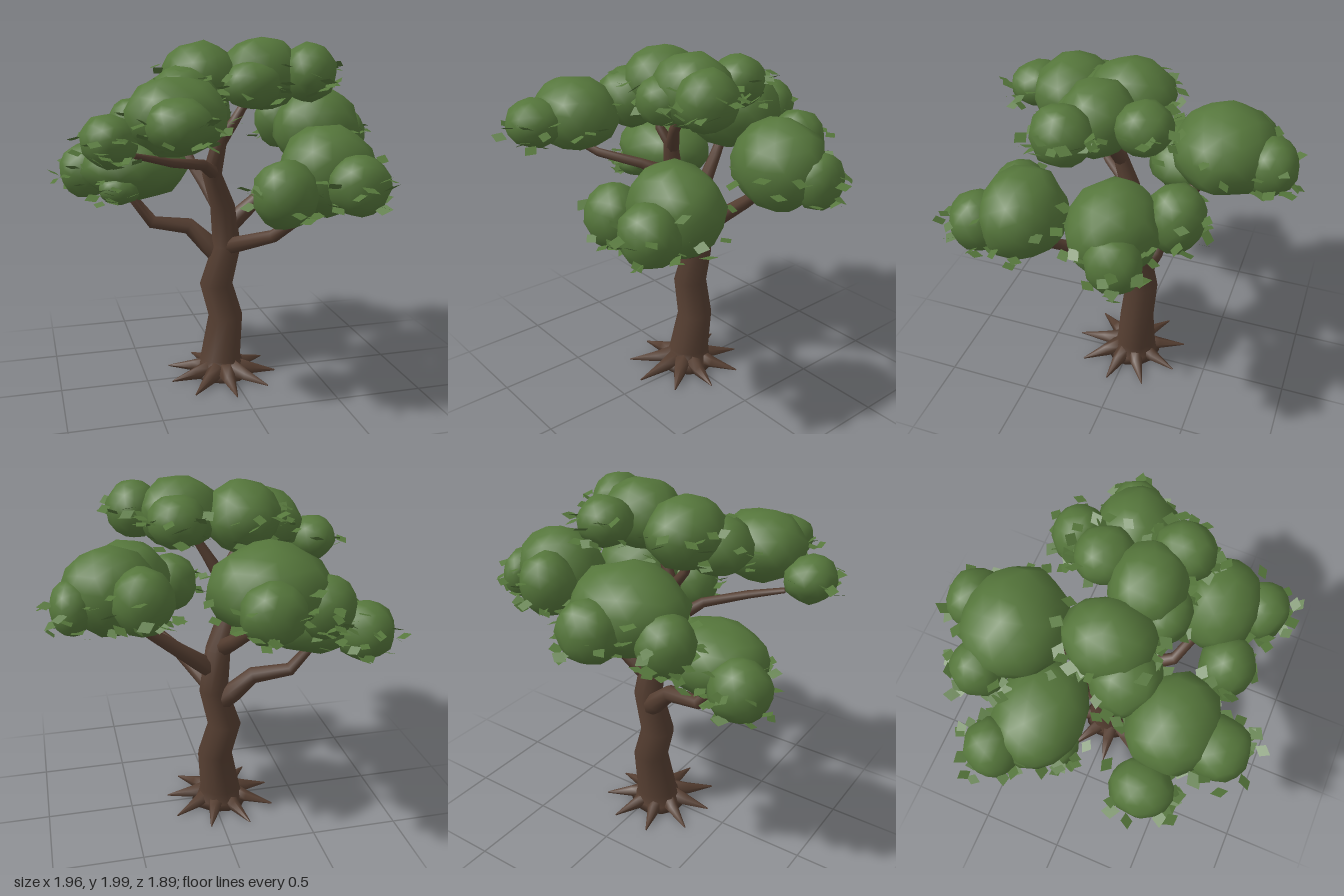
import * as THREE from 'three';
import { mergeGeometries, mergeVertices } from 'three/addons/utils/BufferGeometryUtils.js';

const bark = new THREE.MeshStandardMaterial({ color: 0x553e31 });
bark.name = 'bark brown';
const foliage = new THREE.MeshStandardMaterial({ color: 0x55763b });
foliage.name = 'foliage green';
const leafGreen = new THREE.MeshStandardMaterial({ color: 0x55763b, side: THREE.DoubleSide });
leafGreen.name = 'leaf green';

// Small seeded generator
let seed = 17;
const rand = () => {
  seed = (seed * 16807) % 2147483647;
  return seed / 2147483647;
};

// Tapered limb lofted through points [x, y, z, radius]
function limb(name, pts, sides = 9, level = false) {
  const p = pts.map(a => new THREE.Vector3(a[0], a[1], a[2]));
  const pos = [], idx = [];
  const q = new THREE.Quaternion(), up = new THREE.Vector3(0, 1, 0);
  p.forEach((c, i) => {
    const dir = p[Math.min(i + 1, p.length - 1)].clone().sub(p[Math.max(i - 1, 0)]).normalize();
    if (level) dir.copy(up);
    q.setFromUnitVectors(up, dir);
    for (let k = 0; k < sides; k++) {
      const a = (k / sides) * Math.PI * 2;
      const v = new THREE.Vector3(Math.cos(a), 0, Math.sin(a)).multiplyScalar(pts[i][3]).applyQuaternion(q).add(c);
      pos.push(v.x, v.y, v.z);
    }
  });
  for (let i = 0; i < p.length - 1; i++) {
    for (let k = 0; k < sides; k++) {
      const a = i * sides + k, b = i * sides + (k + 1) % sides;
      idx.push(a, a + sides, b, b, a + sides, b + sides);
    }
  }
  // End caps with their own centre points
  const last = (p.length - 1) * sides, c0 = pos.length / 3;
  pos.push(...p[0].toArray(), ...p[p.length - 1].toArray());
  for (let k = 0; k < sides; k++) {
    const n = (k + 1) % sides;
    idx.push(c0, k, n, c0 + 1, last + n, last + k);
  }
  const g = new THREE.BufferGeometry();
  g.setAttribute('position', new THREE.Float32BufferAttribute(pos, 3));
  g.setIndex(idx);
  g.computeVertexNormals();
  const m = new THREE.Mesh(g, bark);
  m.name = name;
  return m;
}

// Lumpy low-poly leaf mass: [x, y, z, rx, ry, rz]
function blob([x, y, z, rx, ry, rz]) {
  let g = new THREE.IcosahedronGeometry(1, 2);
  g.deleteAttribute('normal');
  g.deleteAttribute('uv');
  g = mergeVertices(g, 1e-3);
  g.rotateX(rand() * 6);
  g.rotateY(rand() * 6);
  const pos = g.attributes.position, v = new THREE.Vector3();
  for (let i = 0; i < pos.count; i++) {
    v.fromBufferAttribute(pos, i);
    const s = 1.0 + (rand() - 0.5) * 0.1;
    pos.setXYZ(i, x + v.x * rx * s, y + v.y * ry * s, z + v.z * rz * s);
  }
  g.computeVertexNormals();
  return g;
}

// Diamond leaves scattered round the outward, lower rim of a leaf mass
function leavesAround([x, y, z, rx, ry, rz], count) {
  const out = [];
  const outward = Math.atan2(z, x);
  for (let i = 0; i < count; i++) {
    const a = outward + (rand() - 0.5) * 4.6, e = -0.7 + rand() * 1.0, gap = rand() * 0.05;
    const g = new THREE.CircleGeometry(0.036 + rand() * 0.01, 4);
    g.scale(1.1, 0.85, 1);
    g.rotateX(-Math.PI / 2 + (rand() - 0.5) * 1.2);
    g.rotateZ((rand() - 0.5) * 1.0);
    g.rotateY(rand() * 6.28);
    g.translate(x + Math.cos(a) * Math.cos(e) * (rx + gap), y + Math.sin(e) * (ry + gap), z + Math.sin(a) * Math.cos(e) * (rz + gap));
    out.push(g);
  }
  return out;
}

// Leaf masses of each clump, main mass first
const clumps = {
  frontRightClump: [
    [-0.4, 1.615, 0.47, 0.265, 0.2, 0.23],
    [-0.73, 1.5, 0.44, 0.145, 0.135, 0.16],
    [-0.43, 1.6, 0.71, 0.165, 0.13, 0.16]],
  frontLeftClump: [
    [0.42, 1.3, 0.44, 0.265, 0.245, 0.23],
    [0.13, 1.215, 0.6, 0.17, 0.18, 0.155],
    [0.5, 1.26, 0.67, 0.165, 0.165, 0.15]],
  leftClump: [
    [0.57, 1.45, -0.12, 0.26, 0.24, 0.235],
    [0.78, 1.4, -0.19, 0.115, 0.15, 0.145],
    [0.43, 1.48, -0.39, 0.16, 0.18, 0.15]],
  topClump: [
    [0.15, 1.79, 0.11, 0.225, 0.2, 0.2],
    [-0.18, 1.77, 0.04, 0.21, 0.195, 0.24],
    [0.39, 1.8, 0.21, 0.15, 0.16, 0.165],
    [0.21, 1.81, -0.15, 0.155, 0.14, 0.15],
    [0.06, 1.74, 0.24, 0.16, 0.13, 0.13],
    [-0.3, 1.68, 0.18, 0.19, 0.17, 0.18]],
  backClump: [
    [-0.19, 1.53, -0.48, 0.31, 0.24, 0.28],
    [-0.14, 1.5, -0.74, 0.165, 0.165, 0.15],
    [-0.46, 1.45, -0.57, 0.155, 0.165, 0.15]],
  rightClump: [
    [-0.51, 1.25, -0.22, 0.31, 0.19, 0.25],
    [-0.77, 1.21, -0.38, 0.165, 0.165, 0.16],
    [-0.62, 1.15, -0.08, 0.12, 0.09, 0.11]]
};

// Branches as [x, y, z, radius]
const branches = {
  frontLeftBranch: [[0.0, 0.78, -0.04, 0.052], [0.17, 0.92, 0.3, 0.036], [0.31, 1.04, 0.37, 0.03], [0.4, 1.16, 0.42, 0.022]],
  leftBranch: [[0.0, 0.9, -0.05, 0.06], [0.18, 1.04, -0.08, 0.045], [0.34, 1.17, -0.11, 0.036], [0.55, 1.35, -0.13, 0.022]],
  rightBranch: [[-0.01, 0.68, -0.07, 0.06], [-0.1, 0.78, -0.12, 0.058], [-0.21, 0.89, -0.15, 0.048], [-0.42, 0.92, -0.18, 0.038], [-0.54, 1.08, -0.21, 0.027], [-0.55, 1.2, -0.22, 0.018]],
  backBranch: [[-0.05, 1.03, -0.05, 0.052], [-0.1, 1.14, -0.2, 0.042], [-0.16, 1.25, -0.33, 0.034], [-0.2, 1.42, -0.46, 0.024]],
  frontRightBranch: [[-0.09, 1.23, 0.02, 0.044], [-0.2, 1.315, 0.19, 0.03], [-0.4, 1.36, 0.34, 0.024], [-0.6, 1.415, 0.4, 0.016]],
  topLeftFork: [[-0.07, 1.42, 0.07, 0.04], [0.0, 1.54, 0.11, 0.03], [0.1, 1.7, 0.11, 0.02]],
  topRightFork: [[-0.07, 1.42, 0.07, 0.034], [-0.14, 1.52, 0.1, 0.025], [-0.2, 1.66, 0.07, 0.018]]
};

export function createModel() {
  const tree = new THREE.Group();
  tree.name = 'tree';

  // Crooked trunk on a flared foot
  tree.add(limb('trunk', [
    [-0.045, 0, -0.015, 0.17], [-0.045, 0.03, -0.02, 0.145], [-0.045, 0.1, -0.035, 0.121],
    [-0.01, 0.35, -0.05, 0.103], [-0.065, 0.55, -0.06, 0.098], [0.0, 0.78, -0.06, 0.084],
    [-0.03, 1.03, -0.04, 0.073], [-0.11, 1.23, 0.03, 0.057], [-0.07, 1.46, 0.08, 0.04]], 11, true));

  // Roots spreading over the ground, flat underneath
  const roots = new THREE.Group();
  roots.name = 'roots';
  for (let i = 0; i < 9; i++) {
    const a = ((i + 0.25) / 9) * Math.PI * 2, len = 0.32 + rand() * 0.03;
    const at = (r, y, w) => [-0.045 + Math.cos(a) * r, y, Math.sin(a) * r, w];
    const root = limb('root', [at(0.08, 0.045, 0.055), at(0.18, 0.025, 0.036), at(len, 0.006, 0.004)], 6);
    const p = root.geometry.attributes.position;
    for (let k = 0; k < p.count; k++) p.setY(k, Math.max(0, p.getY(k)));
    root.geometry.computeVertexNormals();
    roots.add(root);
  }
  tree.add(roots);

  for (const name in branches) tree.add(limb(name, branches[name], 8));

  // Leaf masses with loose leaves
  for (const name in clumps) {
    const group = new THREE.Group();
    group.name = name;
    const leaves = [];
    clumps[name].forEach((b, i) => {
      const mass = new THREE.Mesh(blob(b), foliage);
      mass.name = i ? 'smallLeafMass' : 'mainLeafMass';
      group.add(mass);
      leaves.push(...leavesAround(b, i ? 16 : 8));
    });
    const loose = new THREE.Mesh(mergeGeometries(leaves), leafGreen);
    loose.name = 'looseLeaves';
    group.add(loose);
    tree.add(group);
  }
  return tree;
}
